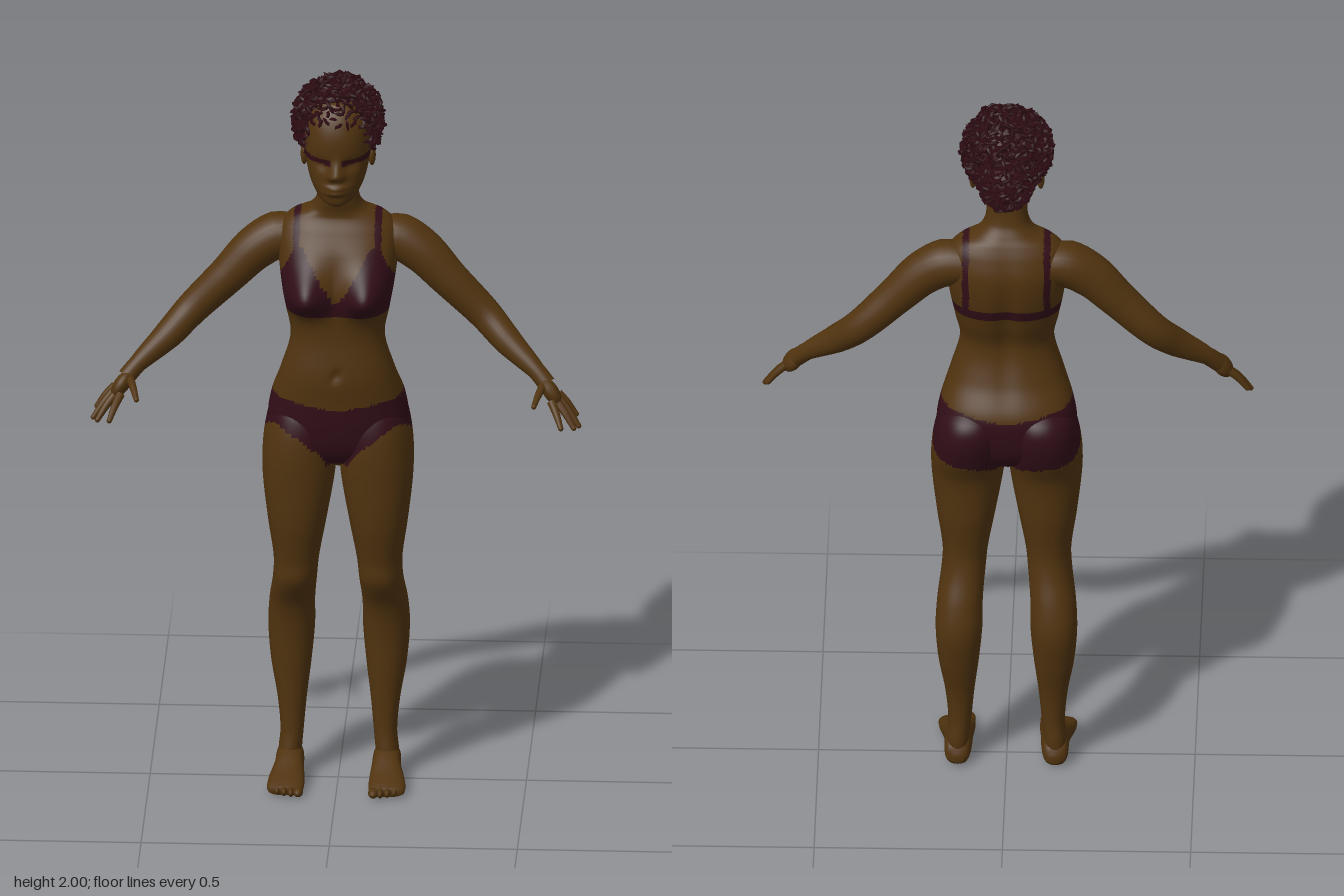
import * as THREE from 'three';
import { mergeGeometries } from 'three/addons/utils/BufferGeometryUtils.js';

const mat = (name, color) => Object.assign(new THREE.MeshStandardMaterial({ color }), { name });
const clamp = THREE.MathUtils.clamp;
const gauss = (d, s) => Math.exp(-(d * d) / (2 * s * s));

// Smooth value of column k between key rows, at segment i and fraction f
function smoothRow(rows, i, f, k) {
  const t = j => rows[j][0], v = j => rows[j][k];
  const slope = j => {
    const a = Math.max(j - 1, 0), b = Math.min(j + 1, rows.length - 1);
    return (v(b) - v(a)) / (t(b) - t(a));
  };
  const h = t(i + 1) - t(i), f2 = f * f, f3 = f2 * f;
  return (2 * f3 - 3 * f2 + 1) * v(i) + (f3 - 2 * f2 + f) * h * slope(i)
    + (3 * f2 - 2 * f3) * v(i + 1) + (f3 - f2) * h * slope(i + 1);
}

// Closed loft from rows [y, xMin, xMax, zFront, zBack]; faces where paint() is true use the second material
function loft(rows, { sides, steps, power = 2.2, bump, paint }) {
  const rings = [];
  for (let i = 0; i < rows.length - 1; i++)
    for (let s = 0; s < steps; s++) rings.push([1, 2, 3, 4].reduce(
      (r, k) => [...r, smoothRow(rows, i, s / steps, k)], [THREE.MathUtils.lerp(rows[i][0], rows[i + 1][0], s / steps)]));
  rings.push(rows[rows.length - 1]);
  const collapse = ([y, a, b, f, g]) => [y, (a + b) / 2, (a + b) / 2, (f + g) / 2, (f + g) / 2];
  rings.unshift(collapse(rings[0]));
  rings.push(collapse(rings[rings.length - 1]));

  const pos = [], groups = [[], []];
  const round = c => Math.sign(c) * Math.abs(c) ** (2 / power);
  for (const [y, x0, x1, zf, zb] of rings)
    for (let j = 0; j < sides; j++) {
      const a = (j / sides) * Math.PI * 2;
      const x = (x0 + x1) / 2 + (x1 - x0) / 2 * round(Math.cos(a));
      const z = (zf + zb) / 2 + (zf - zb) / 2 * round(Math.sin(a));
      pos.push(x, y, z + (bump ? bump(x, y, z) : 0));
    }
  const face = (...ids) => {
    const mid = k => ids.reduce((sum, id) => sum + pos[id * 3 + k], 0) / 3;
    groups[paint && paint(mid(0), mid(1), mid(2)) ? 1 : 0].push(...ids);
  };
  for (let i = 0; i < rings.length - 1; i++)
    for (let j = 0; j < sides; j++) {
      const a = i * sides + j, b = i * sides + (j + 1) % sides;
      face(a, a + sides, b);
      face(b, a + sides, b + sides);
    }
  const geo = new THREE.BufferGeometry();
  geo.setAttribute('position', new THREE.Float32BufferAttribute(pos, 3));
  geo.setIndex([...groups[0], ...groups[1]]);
  geo.addGroup(0, groups[0].length, 0);
  geo.addGroup(groups[0].length, groups[1].length, 1);
  geo.computeVertexNormals();
  return geo;
}

// Tube through [x, y, z, radius] points with changing thickness
function limb(points, segments, sides) {
  const curve = new THREE.CatmullRomCurve3(points.map(p => new THREE.Vector3(p[0], p[1], p[2])));
  const geo = new THREE.TubeGeometry(curve, segments, 1, sides);
  const p = geo.attributes.position, v = new THREE.Vector3(), c = new THREE.Vector3();
  const n = points.length - 1;
  for (let i = 0; i < p.count; i++) {
    const u = Math.floor(i / (sides + 1)) / segments;
    const t = curve.getUtoTmapping(u) * n, k = Math.min(Math.floor(t), n - 1);
    curve.getPointAt(u, c);
    const r = THREE.MathUtils.lerp(points[k][3], points[k + 1][3], t - k);
    v.fromBufferAttribute(p, i).sub(c).multiplyScalar(r).add(c);
    p.setXYZ(i, v.x, v.y, v.z);
  }
  return geo;
}

const symmetric = rows => rows.map(([y, w, f, b]) => [y, -w, w, f, b]);
const sided = (rows, s) => rows.map(([y, a, b, f, g]) => s > 0 ? [y, a, b, f, g] : [y, -b, -a, f, g]);

// Outline of the briefs
function inBriefs(x, y, z) {
  const a = Math.abs(x);
  const rise = clamp((a - 0.03) / 0.15, 0, 1) ** 0.6 * clamp(0.65 + 4 * z, 0.3, 1);
  return y < 1.09 + 0.15 * a && y > 0.92 + 0.13 * rise;
}

// Outline of the top: cups, straps and back band
function inTop(x, y, z) {
  const a = Math.abs(x);
  const cup = z > 0.02 && y > 1.36 && y < 1.54 && a > (y - 1.39) * 0.6 && a < 0.172 - (y - 1.42) * 0.5;
  const strap = Math.abs(a - 0.108) < 0.009 && y > (z > 0 ? 1.5 : 1.4);
  const band = z < 0.05 && Math.abs(y - 1.405) < 0.016;
  return cup || (strap && y < 1.64) || band;
}

export function createModel() {
  const skin = mat('skin', 0x50330f), cloth = mat('swimwear', 0x310e17), hair = mat('hair', 0x310e15);
  const model = new THREE.Group();
  const add = (name, geo, material) => {
    const m = new THREE.Mesh(geo, material);
    m.name = name;
    model.add(m);
    return m;
  };
  const ball = (name, at, size, material) => {
    const m = add(name, new THREE.SphereGeometry(1, 14, 10), material);
    m.position.set(...at);
    m.scale.set(...size);
    return m;
  };

  // Torso and neck
  const torso = symmetric([
    [0.905, 0.03, 0.04, -0.03], [0.93, 0.09, 0.08, -0.07], [0.97, 0.165, 0.105, -0.105],
    [1.03, 0.186, 0.117, -0.122], [1.1, 0.178, 0.122, -0.122], [1.18, 0.152, 0.128, -0.08],
    [1.28, 0.125, 0.118, -0.055], [1.36, 0.138, 0.118, -0.08], [1.44, 0.152, 0.112, -0.103],
    [1.52, 0.16, 0.098, -0.11], [1.575, 0.155, 0.07, -0.095], [1.61, 0.125, 0.05, -0.078],
    [1.63, 0.08, 0.05, -0.065], [1.66, 0.058, 0.058, -0.048], [1.72, 0.054, 0.06, -0.04], [1.78, 0.05, 0.05, -0.04]]);
  const torsoBump = (x, y, z) => {
    const a = Math.abs(x);
    if (z < 0) return 0.012 * gauss(x, 0.02) * gauss(y - 1.36, 0.12);
    return 0.076 * gauss(a - 0.085, 0.043) * gauss(y - 1.415, y < 1.415 ? 0.036 : 0.052) * clamp(z / 0.05, 0, 1)
      - 0.012 * gauss(x, 0.008) * gauss(y - 1.19, 0.01);
  };
  add('torso', loft(torso, { sides: 112, steps: 8, power: 2.35, bump: torsoBump,
    paint: (x, y, z) => inBriefs(x, y, z) || inTop(x, y, z) }), [skin, cloth]);

  const leg = [
    [0.03, 0.1, 0.16, 0.02, -0.07], [0.07, 0.098, 0.16, 0.018, -0.074], [0.13, 0.093, 0.155, 0.01, -0.07],
    [0.22, 0.085, 0.163, 0.01, -0.077], [0.32, 0.073, 0.18, 0.014, -0.1], [0.42, 0.064, 0.188, 0.02, -0.115],
    [0.5, 0.063, 0.184, 0.038, -0.1], [0.58, 0.056, 0.173, 0.084, -0.072], [0.64, 0.05, 0.171, 0.09, -0.062],
    [0.75, 0.03, 0.186, 0.11, -0.075], [0.88, 0.008, 0.2, 0.118, -0.087], [0.96, 0.003, 0.2, 0.12, -0.122],
    [1.03, 0.004, 0.19, 0.112, -0.14], [1.08, 0.015, 0.172, 0.09, -0.128], [1.12, 0.05, 0.13, 0.04, -0.08]];
  // Foot rows run from heel to toe: [z, xMin, xMax, sole, -height]
  const foot = [
    [-0.08, 0.115, 0.14, -0.012, -0.035], [-0.068, 0.1, 0.16, -0.003, -0.06], [-0.03, 0.092, 0.165, 0, -0.09],
    [0.025, 0.09, 0.168, 0, -0.078], [0.08, 0.086, 0.18, 0, -0.052], [0.125, 0.086, 0.184, 0, -0.035],
    [0.145, 0.092, 0.178, -0.002, -0.026]];
  const arm = [
    [0.1, 1.535, -0.03, 0.05], [0.16, 1.535, -0.026, 0.064], [0.22, 1.5, -0.02, 0.06], [0.295, 1.422, -0.015, 0.051],
    [0.39, 1.325, -0.01, 0.044], [0.45, 1.265, 0.025, 0.039], [0.53, 1.197, 0.07, 0.024], [0.56, 1.165, 0.088, 0.024]];
  const fingers = {
    Thumb: [[0.55, 1.168, 0.1], [0.528, 1.137, 0.18]],
    IndexFinger: [[0.573, 1.13, 0.125], [0.6, 1.075, 0.178]],
    MiddleFinger: [[0.585, 1.13, 0.113], [0.633, 1.066, 0.15]],
    RingFinger: [[0.59, 1.133, 0.1], [0.645, 1.064, 0.126]],
    LittleFinger: [[0.588, 1.142, 0.088], [0.637, 1.084, 0.092]] };

  for (const s of [1, -1]) {
    const side = s > 0 ? 'left' : 'right';
    const flip = ([x, ...rest]) => [x * s, ...rest];

    // Leg, foot and toes
    add(side + 'Leg', loft(sided(leg, s), { sides: 64, steps: 7, paint: inBriefs }), [skin, cloth]);
    add(side + 'Foot', loft(sided(foot, s), { sides: 28, steps: 5, power: 2.4 }).rotateX(Math.PI / 2), skin);
    for (let i = 0; i < 5; i++)
      ball(side + 'Toe', [s * (0.1 + i * 0.0185), 0.014, 0.147 - i * i * 0.0018], [i ? 0.009 : 0.014, 0.013, 0.025], skin);

    // Arm, palm and fingers
    add(side + 'Arm', limb(arm.map(flip), 40, 24), skin);
    const palm = ball(side + 'Palm', [s * 0.57, 1.15, 0.1], [0.021, 0.042, 0.031], skin);
    palm.rotation.set(-0.45, 0, s * 0.6);
    for (const [name, [base, tip]] of Object.entries(fingers)) {
      const mid = base.map((v, k) => (v + tip[k]) / 2 + (k === 1 ? 0.004 : 0));
      add(side + name, limb([[...base, 0.012], [...mid, 0.01], [...tip, 0.007]].map(flip), 8, 10), skin);
      ball(side + name + 'Tip', flip(tip), [0.007, 0.007, 0.007], skin);
    }
    ball(side + 'Ear', [s * 0.09, 1.78, 0.005], [0.01, 0.03, 0.018], skin);
  }

  // Head with dark lash and brow line
  const head = symmetric([
    [1.668, 0.02, 0.105, 0.04], [1.68, 0.042, 0.12, 0], [1.705, 0.06, 0.125, -0.03], [1.74, 0.075, 0.125, -0.05],
    [1.8, 0.087, 0.124, -0.08], [1.86, 0.09, 0.124, -0.09], [1.91, 0.084, 0.108, -0.085], [1.95, 0.06, 0.08, -0.06]]);
  const faceBump = (x, y, z) => z < 0.03 ? 0 :
    0.022 * gauss(x, 0.011) * gauss(y - 1.765, y < 1.765 ? 0.009 : 0.02)
    + 0.008 * gauss(Math.abs(x) - 0.012, 0.009) * gauss(y - 1.76, 0.008)
    + 0.013 * gauss(x, 0.02) * (gauss(y - 1.729, 0.006) + gauss(y - 1.714, 0.006))
    - 0.01 * gauss(Math.abs(x) - 0.038, 0.016) * gauss(y - 1.79, 0.012);
  add('head', loft(head, { sides: 88, steps: 10, bump: faceBump, paint: (x, y, z) =>
    z > 0.02 && Math.abs(x) > 0.014 && Math.abs(y - 1.795 - 0.1 * Math.abs(x)) < 0.008 }), [skin, hair]);

  // Curly hair: smooth cores covered with small rings
  let seed = 7;
  const rnd = () => (seed = (seed * 16807) % 2147483647) / 2147483647;
  const curls = (center, radii, count) => {
    const list = [];
    for (let i = 0; i < count; i++) {
      const v = 1 - 2 * (i + 0.5) / count, a = i * 2.39996, r = Math.sqrt(1 - v * v), d = 0.97 + rnd() * 0.06;
      const [x, y, z] = [r * Math.cos(a), v, r * Math.sin(a)].map((n, k) => center[k] + n * radii[k] * d);
      const onFace = z > 0.05 && Math.abs(x) < 0.066 && y < 1.895;
      if (onFace || (z > 0 && y < 1.8)) continue;
      list.push(new THREE.TorusGeometry(0.009 + rnd() * 0.006, 0.0055, 3, 7)
        .rotateX(rnd() * 6).rotateY(rnd() * 6).translate(x, y, z));
    }
    return mergeGeometries(list);
  };
  for (const [name, center, radii, count] of [
    ['hairCap', [0, 1.876, -0.005], [0.112, 0.111, 0.108], 520],
    ['hairBun', [0, 1.838, -0.125], [0.062, 0.062, 0.055], 170]]) {
    ball(name, center, radii.map(r => r * 0.98), hair);
    add(name + 'Curls', curls(center, radii, count), hair);
  }
  return model;
}
